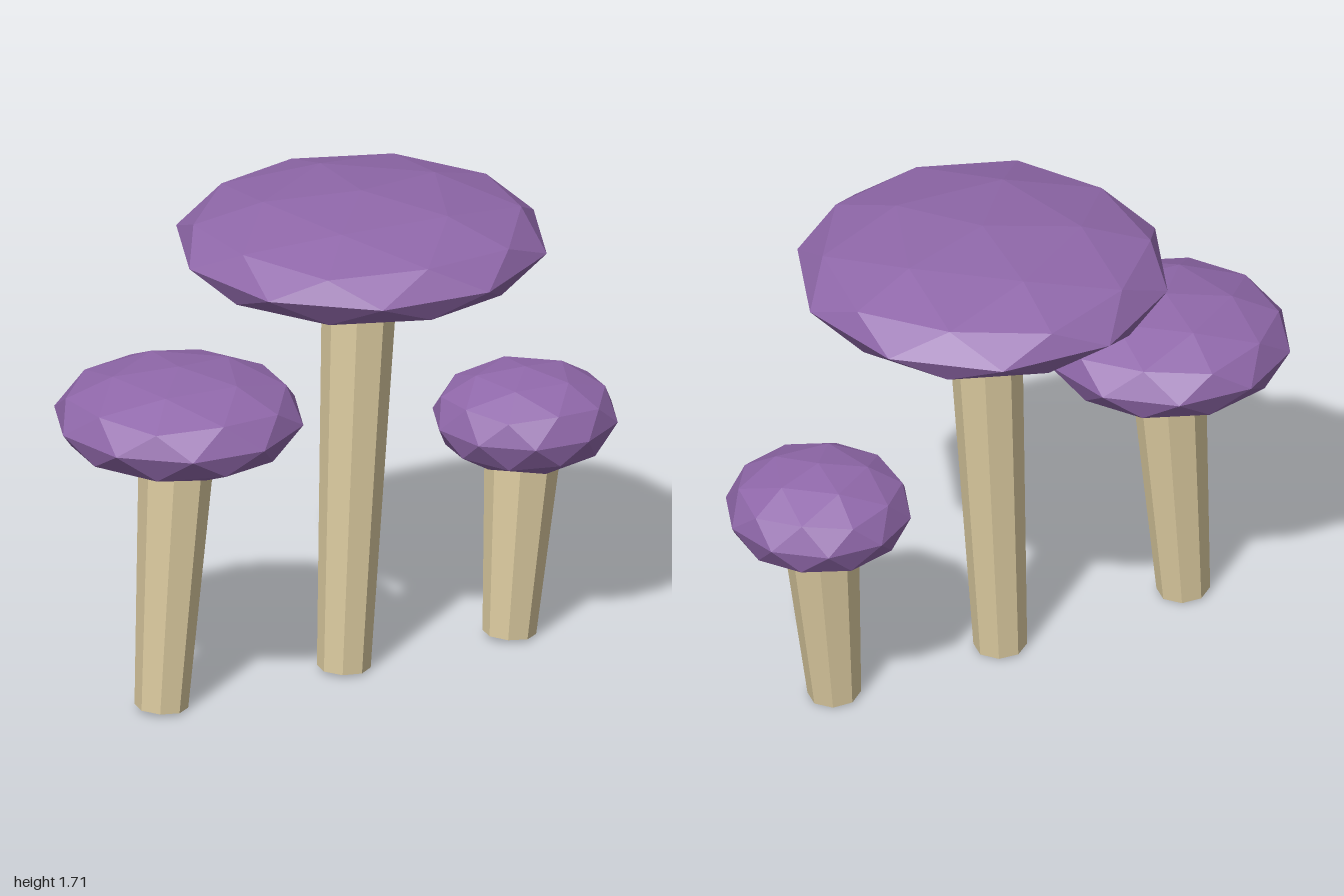
import * as THREE from 'three';

const capMaterial = new THREE.MeshStandardMaterial({ color: 0x9068aa, flatShading: true });
const stemMaterial = new THREE.MeshStandardMaterial({ color: 0xdccba0, flatShading: true });

const CAP_HALF_HEIGHT = 0.177;
const UP = new THREE.Vector3(0, 1, 0);

// Faceted ball with a corner at its pole, squashed into a cap
function makeCap(radius, centre) {
  const geometry = new THREE.IcosahedronGeometry(1, 1);
  geometry.rotateZ(-Math.atan(2 / (1 + Math.sqrt(5))));
  geometry.scale(radius, CAP_HALF_HEIGHT, radius);
  const cap = new THREE.Mesh(geometry, capMaterial);
  cap.name = 'cap';
  cap.position.copy(centre);
  return cap;
}

// Eight-sided leaning stem, wider at the top, ending just inside the cap
function makeStem(base, capCentre) {
  const axis = capCentre.clone().sub(base);
  const length = axis.length() - CAP_HALF_HEIGHT + 0.04;
  axis.normalize();
  const geometry = new THREE.CylinderGeometry(0.127, 0.09, length, 8);
  geometry.translate(0, length / 2, 0);
  const stem = new THREE.Mesh(geometry, stemMaterial);
  stem.name = 'stem';
  stem.position.copy(base);
  stem.quaternion.setFromUnitVectors(UP, axis);
  return stem;
}

export function createModel() {
  const model = new THREE.Group();
  model.name = 'mushroomCluster';

  const mushrooms = [
    { name: 'tallMushroom', radius: 0.632, baseX: 0.01, cap: [0.09, 1.532, 0] },
    { name: 'middleMushroom', radius: 0.425, baseX: -0.675, cap: [-0.596, 1.039, -0.155] },
    { name: 'smallMushroom', radius: 0.316, baseX: 0.62, cap: [0.692, 0.775, 0.153] },
  ];

  for (const { name, radius, baseX, cap } of mushrooms) {
    const centre = new THREE.Vector3(...cap);
    const base = new THREE.Vector3(baseX, 0.012, centre.z);
    const mushroom = new THREE.Group();
    mushroom.name = name;
    mushroom.add(makeStem(base, centre), makeCap(radius, centre));
    model.add(mushroom);
  }
  return model;
}
